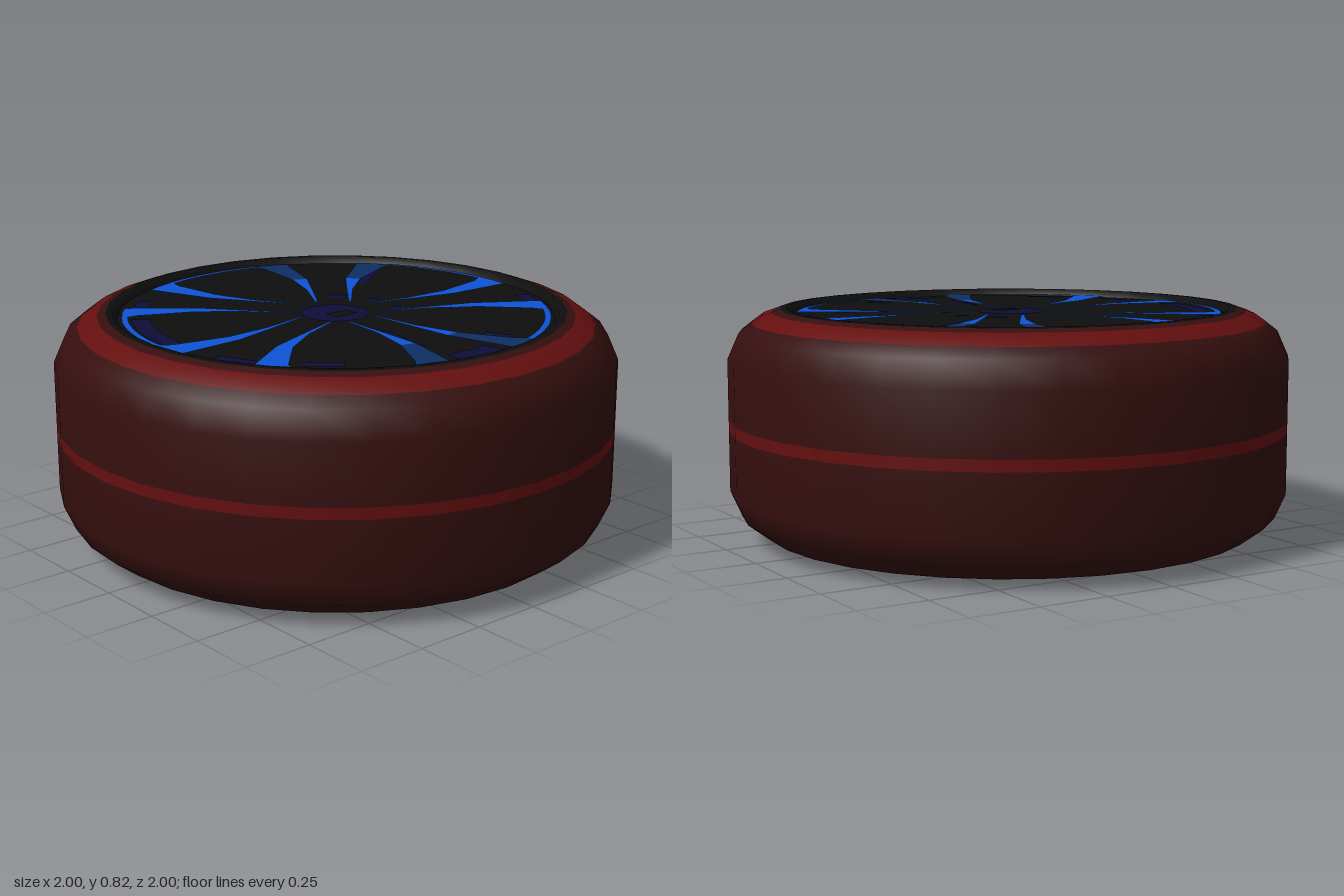
import * as THREE from 'three';

const SIDES = 32;
const FACE_Y = 0.8;

function material(name, color) {
  const m = new THREE.MeshStandardMaterial({ color });
  m.name = name;
  return m;
}

export function createModel() {
  const rubber = material('maroon rubber', 0x360f0f);
  const red = material('red stripe', 0x640f0f);
  const black = material('black', 0x0e0e0e);
  const blue = material('bright blue', 0x0e54d6);
  const steel = material('dusky blue', 0x0e2e63);
  const navy = material('navy', 0x0d0d38);

  const wheel = new THREE.Group();
  wheel.name = 'wheel';

  function add(name, geometry, mat, y = 0) {
    const mesh = new THREE.Mesh(geometry, mat);
    mesh.name = name;
    mesh.position.y = y;
    wheel.add(mesh);
  }

  // Revolved bands of the tyre and rim, listed from the bottom to the top
  function band(name, mat, points) {
    const profile = points.map(([r, y]) => new THREE.Vector2(r, y));
    add(name, new THREE.LatheGeometry(profile, SIDES), mat);
  }
  band('backDisc', red, [[0, 0], [0.7, 0]]);
  band('lowerTyre', rubber, [[0.7, 0], [0.88, 0.03], [0.96, 0.09], [1, 0.18], [1, 0.395]]);
  band('treadStripe', red, [[1, 0.395], [1, 0.435]]);
  band('upperTyre', rubber, [[1, 0.435], [1, 0.65], [0.96, 0.74], [0.915, 0.775]]);
  band('shoulderStripe', red, [[0.915, 0.775], [0.88, 0.8], [0.845, 0.812]]);
  band('tyreBead', rubber, [[0.845, 0.812], [0.815, 0.823]]);
  band('rimLip', black, [[0.815, 0.823], [0.79, 0.825], [0.775, FACE_Y]]);
  band('rimFace', black, [[0.775, FACE_Y], [0, FACE_Y]]);

  // Flat plate on the rim face, from [radius, degrees] corners
  function plate(name, mat, corners, lift) {
    const shape = new THREE.Shape(corners.map(([r, deg]) => {
      const a = THREE.MathUtils.degToRad(deg);
      return new THREE.Vector2(r * Math.cos(a), -r * Math.sin(a));
    }));
    add(name, new THREE.ShapeGeometry(shape).rotateX(-Math.PI / 2), mat, FACE_Y + lift);
  }

  // Curved patch between two radii and two angles
  function arc(name, mat, r0, r1, a0, a1, lift) {
    const steps = Math.max(2, Math.ceil((a1 - a0) / 5));
    const outer = [], inner = [];
    for (let i = 0; i <= steps; i++) {
      const a = a0 + (a1 - a0) * i / steps;
      outer.push([r1, a]);
      inner.unshift([r0, a]);
    }
    plate(name, mat, [...outer, ...inner], lift);
  }

  // Five U-shaped spoke pairs; each leg has an inner and an outer half
  const innerLeg = [[0.15, 10], [0.33, 21], [0.5, 21], [0.5, 27.5], [0.34, 25], [0.15, 14]];
  const outerLeg = [[0.5, 21], [0.7, 17], [0.735, 15.5], [0.757, 15.5], [0.757, 20], [0.757, 25.3], [0.5, 27.5]];
  const duskyLegs = ['0+', '1-', '3+', '4-'];
  for (let k = 0; k < 5; k++) {
    const axis = -36 + 72 * k;
    for (const side of [-1, 1]) {
      const turn = (pts) => pts.map(([r, a]) => [r, axis + side * a]);
      const dusky = duskyLegs.includes(k + (side > 0 ? '+' : '-'));
      plate('spokeInner', blue, turn(innerLeg), 0.006);
      plate('spokeOuter', dusky ? steel : blue, turn(outerLeg), 0.006);
    }
    arc('spokeArc', k === 1 ? steel : blue, 0.737, 0.759, axis - 15.5, axis + 15.5, 0.006);
  }
  arc('duskyArc', steel, 0.737, 0.76, 236, 246, 0.007);

  // Navy shade panels: inner radius, outer radius, start and end degrees
  const panels = [
    [0.66, 0.74, -8, 7], [0.66, 0.725, 91, 122], [0.68, 0.74, 62, 74],
    [0.68, 0.73, 134, 143], [0.65, 0.7, 38, 50], [0.42, 0.68, 231, 235],
    [0.7, 0.75, -70, -63], [0.42, 0.62, -61, -58], [0.3, 0.55, 7, 10],
    [0.2, 0.25, 212, 230], [0.2, 0.24, 253, 264], [0.2, 0.24, -70, -60],
    [0.58, 0.68, -22, -18],
  ];
  for (const p of panels) arc('shadePanel', navy, ...p, 0.003);

  // Hub cap with its dark notch
  const hub = new THREE.CircleGeometry(0.12, 24).rotateX(-Math.PI / 2).translate(0.01, 0, 0.015);
  add('hubCap', hub, navy, FACE_Y + 0.004);
  const notch = new THREE.PlaneGeometry(0.06, 0.1).rotateX(-Math.PI / 2).translate(0.04, 0, 0.01);
  add('hubNotch', notch, black, FACE_Y + 0.007);

  return wheel;
}
